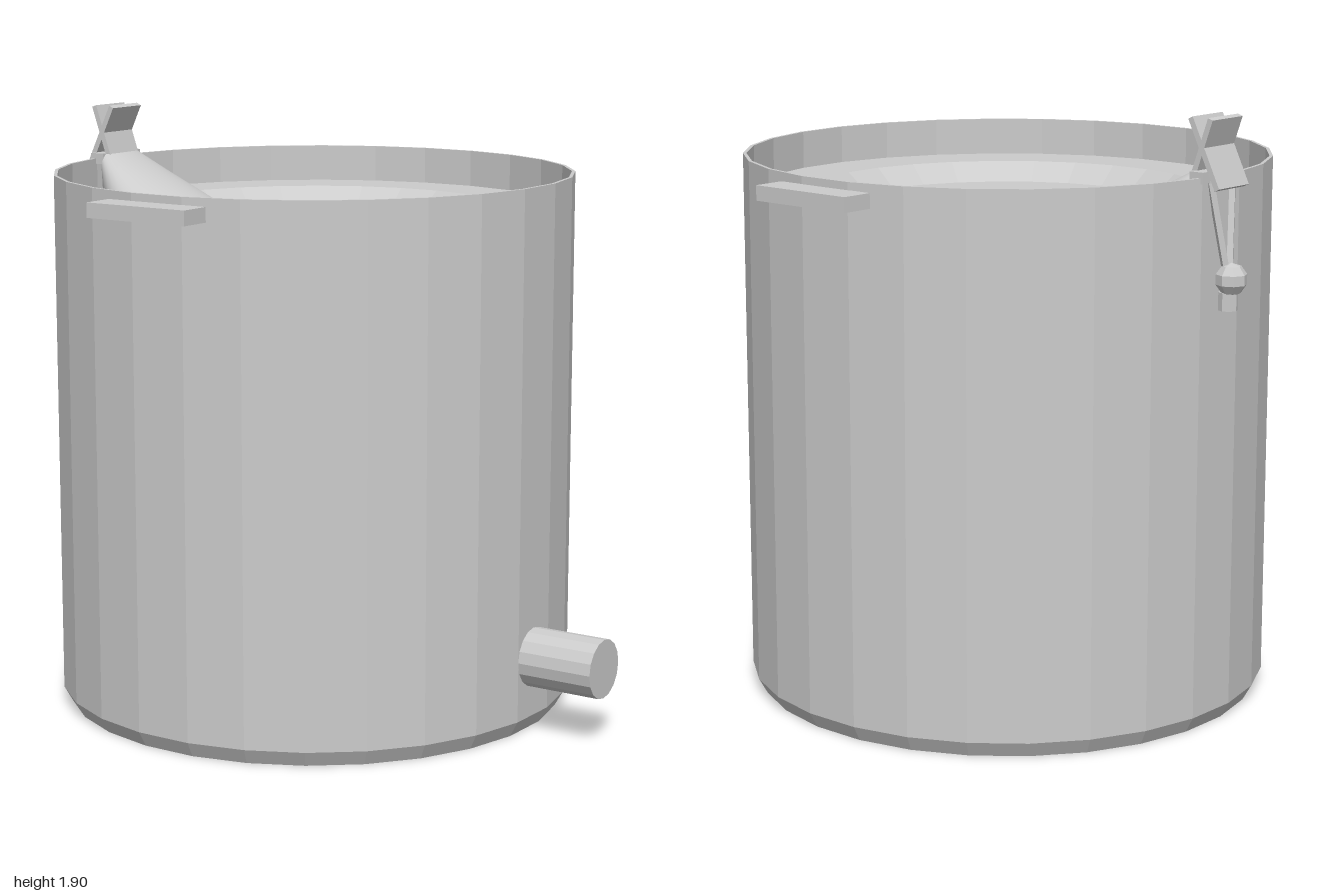
import * as THREE from 'three';

const flat = new THREE.MeshStandardMaterial({ color: 0xcccccc, flatShading: true });
const smooth = new THREE.MeshStandardMaterial({ color: 0xcccccc, side: THREE.DoubleSide });

const CX = -0.078; // axis of the pot

function add(parent, name, geometry, x, y, z, material = flat) {
  const mesh = new THREE.Mesh(geometry, material);
  mesh.name = name;
  mesh.position.set(x, y, z);
  parent.add(mesh);
  return mesh;
}

// Thin bar of square section between two points
function bar(parent, name, a, b, thick) {
  const from = new THREE.Vector3(...a), to = new THREE.Vector3(...b);
  const mesh = add(parent, name, new THREE.BoxGeometry(thick, thick, from.distanceTo(to)), 0, 0, 0);
  mesh.position.lerpVectors(from, to, 0.5);
  mesh.lookAt(to);
  return mesh;
}

// Elliptical rings [y, centreX, radiusX, radiusZ] joined from bottom to top, with a cap
function ellipseLoft(rings, sides) {
  const pos = [], index = [];
  for (const [y, cx, rx, rz] of rings) {
    for (let i = 0; i < sides; i++) {
      const t = (i / sides) * Math.PI * 2;
      pos.push(cx + Math.sin(t) * rx, y, Math.cos(t) * rz);
    }
  }
  for (let r = 0; r < rings.length - 1; r++) {
    for (let i = 0; i < sides; i++) {
      const j = (i + 1) % sides;
      const a = r * sides + i, b = r * sides + j;
      index.push(a, b, b + sides, a, b + sides, a + sides);
    }
  }
  const [y, cx] = rings[rings.length - 1];
  const top = pos.length / 3, last = top - sides;
  pos.push(cx, y, 0);
  for (let i = 0; i < sides; i++) index.push(last + i, last + (i + 1) % sides, top);
  const g = new THREE.BufferGeometry();
  g.setAttribute('position', new THREE.Float32BufferAttribute(pos, 3));
  g.setIndex(index);
  g.computeVertexNormals();
  return g;
}

export function createModel() {
  const model = new THREE.Group();
  model.name = 'pot';

  // Body with bevelled foot, thin rim and stepped, sunken top
  const profile = [
    [0, 0], [0.805, 0], [0.833, 0.05], [0.833, 1.72], [0.822, 1.72],
    [0.822, 1.6], [0.633, 1.6], [0.56, 1.54], [0, 1.54],
  ].map(([r, y]) => new THREE.Vector2(r, y));
  const body = add(model, 'body', new THREE.LatheGeometry(profile, 28), CX, 0, 0);
  body.rotation.y = Math.PI / 28;

  // Side handles
  for (const s of [1, -1]) {
    add(model, 'handle', new THREE.BoxGeometry(0.36, 0.046, 0.105), CX, 1.673, s * 0.878);
  }

  // Drain pipe
  const pipe = add(model, 'drainPipe', new THREE.CylinderGeometry(0.094, 0.094, 0.27, 16), 0.865, 0.242, 0);
  pipe.rotation.z = Math.PI / 2;

  // Spout sloping up from the sunken top to the rim
  const spout = ellipseLoft([
    [1.52, -0.6, 0.19, 0.208],
    [1.56, -0.66, 0.18, 0.196],
    [1.6, -0.725, 0.17, 0.175],
    [1.67, -0.805, 0.095, 0.135],
    [1.735, -0.875, 0.035, 0.088],
  ], 32);
  add(model, 'spout', spout, 0, 0, 0, smooth);

  // Clip of two crossed plates on the spout's mouth
  const clip = new THREE.Group();
  clip.name = 'clip';
  model.add(clip);
  add(clip, 'clipBase', new THREE.BoxGeometry(0.05, 0.035, 0.2), -0.888, 1.72, 0);
  const plates = [[-0.945, 1.685, -0.845, 1.892], [-0.85, 1.7, -0.917, 1.892]];
  for (const [x0, y0, x1, y1] of plates) {
    const length = Math.hypot(x1 - x0, y1 - y0);
    const plate = add(clip, 'clipPlate', new THREE.BoxGeometry(0.018, length, 0.15),
      (x0 + x1) / 2, (y0 + y1) / 2, 0);
    plate.rotation.z = Math.atan2(x0 - x1, y1 - y0);
  }

  // Weight hanging outside on two cords
  const pendant = new THREE.Group();
  pendant.name = 'pendant';
  model.add(pendant);
  for (const s of [1, -1]) {
    bar(pendant, 'cord', [-0.905, 1.73, s * 0.06], [-0.935, 1.45, s * 0.012], 0.018);
  }
  add(pendant, 'weight', new THREE.SphereGeometry(0.05, 8, 5), -0.95, 1.412, 0);
  add(pendant, 'weightTip', new THREE.CylinderGeometry(0.03, 0.03, 0.055, 8), -0.94, 1.345, 0);

  return model;
}
